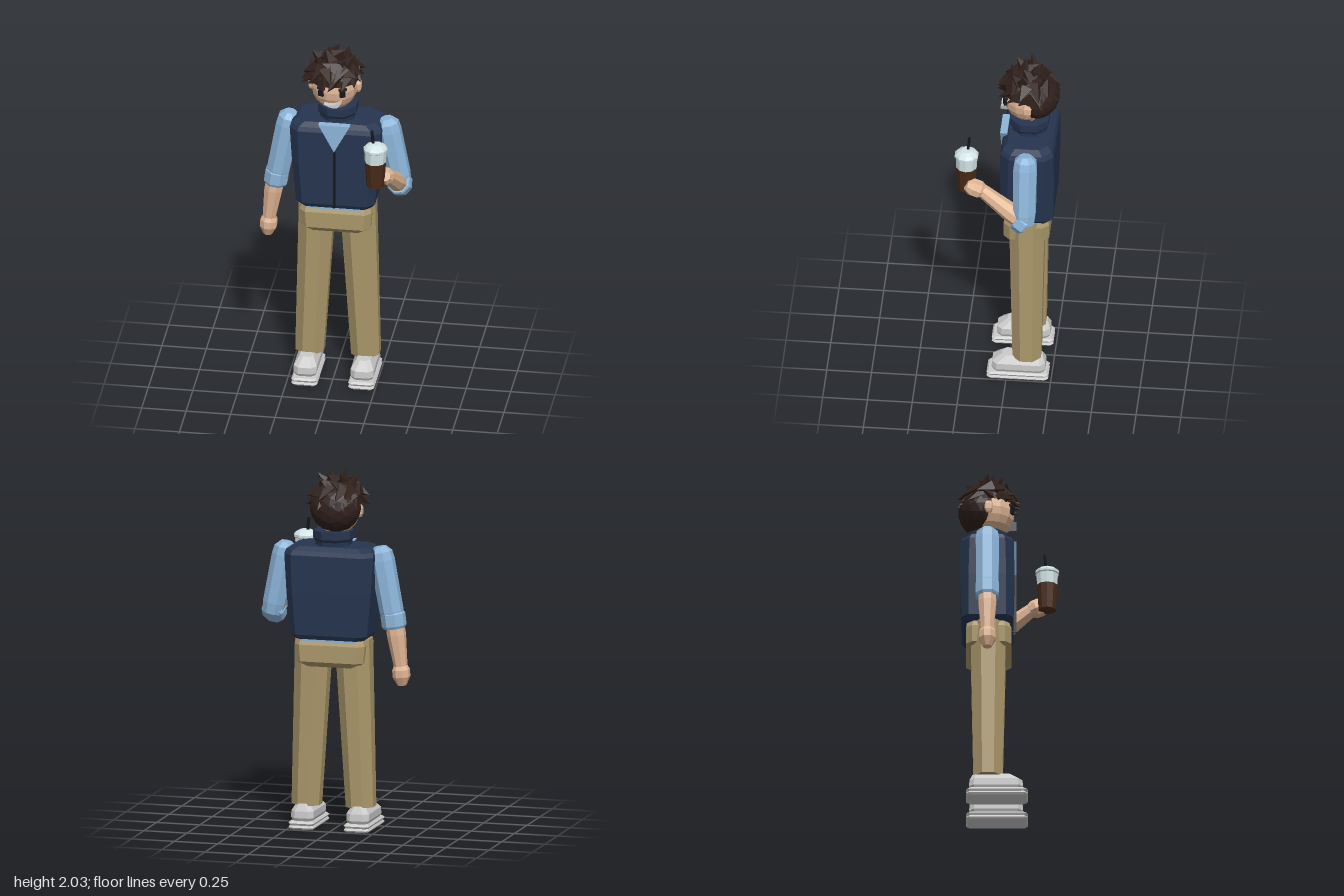
import * as THREE from 'three';

const mat = (color, side = THREE.FrontSide) => new THREE.MeshStandardMaterial({ color, side, flatShading: true });
const V = (x, y, z) => new THREE.Vector3(x, y, z);
const UP = V(0, 1, 0);
const CX = 0.0125; // body midline

export function createModel() {
  const model = new THREE.Group();
  const skin = mat(0xe0b594), shirt = mat(0x8db6da), vest = mat(0x263550), trousers = mat(0xab986b);
  const grey = mat(0xcccccc), hair = mat(0x30211c, THREE.DoubleSide), dark = mat(0x15161c);
  const coffee = mat(0x4a2a18), clear = mat(0xd3e4e6);

  const add = (name, geometry, material, x = 0, y = 0, z = 0) => {
    const mesh = new THREE.Mesh(geometry, material);
    mesh.name = name;
    mesh.position.set(x, y, z);
    model.add(mesh);
    return mesh;
  };

  // Stack of chamfered rectangles; each ring is [y, halfWidth, halfDepth, chamfer, zOffset]
  const loft = (rings) => {
    const pos = [], idx = [];
    for (const [y, w, d, c, dz = 0] of rings) {
      const outline = [[w, -d + c], [w, d - c], [w - c, d], [-w + c, d], [-w, d - c], [-w, -d + c], [-w + c, -d], [w - c, -d]];
      for (const [x, z] of outline) pos.push(x, y, z + dz);
    }
    const top = (rings.length - 1) * 8;
    for (let r = 0; r < top; r += 8) {
      for (let i = 0; i < 8; i++) {
        const a = r + i, b = r + (i + 1) % 8;
        idx.push(a, a + 8, b, b, a + 8, b + 8);
      }
    }
    for (let i = 1; i < 7; i++) idx.push(0, i, i + 1, top, top + i + 1, top + i);
    const g = new THREE.BufferGeometry();
    g.setAttribute('position', new THREE.Float32BufferAttribute(pos, 3));
    g.setIndex(idx);
    g.computeVertexNormals();
    return g;
  };

  // Turned solid from a to b; the profile is [radius, fraction of the way]
  const limb = (name, a, b, profile, material, sides = 8) => {
    const axis = b.clone().sub(a), len = axis.length();
    const pts = profile.map(([r, t]) => new THREE.Vector2(r, t * len));
    pts.unshift(new THREE.Vector2(0, pts[0].y));
    pts.push(new THREE.Vector2(0, pts[pts.length - 1].y));
    const g = new THREE.LatheGeometry(pts, sides).rotateY(Math.PI / sides);
    const mesh = add(name, g, material, a.x, a.y, a.z);
    mesh.quaternion.setFromUnitVectors(UP, axis.normalize());
    return mesh;
  };
  const ball = (name, material, p, r, detail = 1) =>
    add(name, new THREE.IcosahedronGeometry(1, detail).scale(...r), material, ...p);

  // Legs and shoes
  for (const s of [-1, 1]) {
    const side = s > 0 ? 'left' : 'right';
    limb(side + 'Leg', V(CX + s * 0.157, 0.13, -0.112), V(CX + s * 0.115, 1.08, -0.11), [[0.086, 0], [0.108, 1]], trousers);
    const x = CX + s * 0.16;
    add(side + 'Sole', loft([[0, 0.066, 0.165, 0.015], [0.01, 0.073, 0.172, 0.015], [0.022, 0.066, 0.165, 0.015],
      [0.034, 0.073, 0.172, 0.015], [0.045, 0.064, 0.162, 0.015]]), grey, x, 0, -0.062);
    add(side + 'Shoe', loft([[0.04, 0.054, 0.138, 0.02], [0.062, 0.065, 0.15, 0.025], [0.1, 0.065, 0.148, 0.028],
      [0.142, 0.038, 0.112, 0.022, -0.02]]), grey, x, 0, -0.067);
  }

  // Hips, shirt hem, vest and collar
  add('hips', loft([[0.925, 0.155, 0.1, 0.03], [0.955, 0.195, 0.127, 0.035], [1.05, 0.203, 0.127, 0.035],
    [1.085, 0.19, 0.112, 0.03]]), trousers, CX, 0, -0.108);
  add('shirtHem', loft([[1.07, 0.18, 0.12, 0.03], [1.1, 0.18, 0.12, 0.03]]), shirt, CX, 0, -0.11);
  add('vest', loft([[1.085, 0.2, 0.13, 0.035], [1.11, 0.222, 0.144, 0.04], [1.35, 0.244, 0.15, 0.045],
    [1.56, 0.258, 0.149, 0.05], [1.585, 0.25, 0.138, 0.05], [1.608, 0.215, 0.112, 0.045]]), vest, CX, 0, -0.115);
  limb('collar', V(CX, 1.58, -0.114), V(CX, 1.69, -0.114), [[0.1, 0], [0.104, 0.45], [0.116, 0.6], [0.116, 1]], vest);
  limb('neck', V(0.005, 1.6, -0.11), V(0.005, 1.74, -0.11), [[0.065, 0], [0.065, 1]], skin);

  // Shirt opening and zip
  const vee = new THREE.Shape([[-0.088, 1.615], [0, 1.45], [0.088, 1.615]].map((p) => new THREE.Vector2(...p)));
  add('shirtOpening', new THREE.ExtrudeGeometry(vee, { depth: 0.04, bevelEnabled: false }), shirt, CX, 0, 0.006);
  add('zip', new THREE.BoxGeometry(0.012, 0.35, 0.03), dark, CX, 1.275, 0.033);

  // Arms: the right one hangs, the left one is bent to hold the cup
  const sleeve = [[0.035, 0], [0.064, 0.07], [0.07, 0.18], [0.068, 0.85], [0.06, 1]];
  const cuff = [[0.06, 0], [0.07, 0.15], [0.07, 0.85], [0.062, 1]];
  const forearm = [[0.052, 0], [0.054, 0.3], [0.038, 1]];
  limb('rightSleeve', V(-0.255, 1.608, -0.115), V(-0.335, 1.18, -0.115), sleeve, shirt);
  limb('rightCuff', V(-0.327, 1.245, -0.115), V(-0.34, 1.15, -0.115), cuff, shirt);
  limb('rightForearm', V(-0.34, 1.19, -0.115), V(-0.376, 0.93, -0.115), forearm, skin);
  limb('rightHand', V(-0.374, 0.955, -0.115), V(-0.384, 0.828, -0.115), [[0.03, 0], [0.05, 0.3], [0.05, 0.62], [0.025, 1]], skin);

  const elbow = V(0.362, 1.205, -0.105), wrist = V(0.315, 1.38, 0.135);
  limb('leftSleeve', V(0.285, 1.608, -0.113), V(0.366, 1.2, -0.113), sleeve, shirt);
  limb('leftCuff', elbow.clone().lerp(wrist, -0.1), elbow.clone().lerp(wrist, 0.14), cuff, shirt);
  limb('leftForearm', elbow, wrist, forearm, skin);
  limb('leftHand', V(0.31, 1.365, 0.115), V(0.326, 1.415, 0.215), [[0.035, 0], [0.052, 0.3], [0.052, 0.7], [0.03, 1]], skin);

  // Cup with lid and straw
  const cup = V(0.272, 1.355, 0.217);
  const cupPart = (name, y0, y1, profile, m) =>
    limb(name, V(cup.x, y0, cup.z), V(cup.x, y1, cup.z), profile, m, 10);
  cupPart('cup', 1.355, 1.51, [[0.05, 0], [0.06, 1]], coffee);
  cupPart('cupRim', 1.505, 1.615, [[0.06, 0], [0.062, 0.6], [0.068, 0.64], [0.068, 0.76], [0.056, 0.88], [0.03, 1]], clear);
  limb('straw', V(0.262, 1.58, 0.213), V(0.25, 1.685, 0.203), [[0.009, 0], [0.009, 1]], dark, 6);

  // Head, ears, eyes and smile
  add('head', new THREE.SphereGeometry(1, 14, 10).scale(0.132, 0.143, 0.137), skin, -0.005, 1.81, -0.1);
  for (const s of [-1, 1]) {
    add('ear', loft([[-0.032, 0.012, 0.014, 0.005], [-0.015, 0.018, 0.022, 0.006], [0.02, 0.018, 0.024, 0.006],
      [0.034, 0.012, 0.016, 0.005]]), skin, -0.004 + s * 0.13, 1.8, -0.108);
    add('eye', new THREE.BoxGeometry(0.032, 0.034, 0.02), dark, -0.003 + s * 0.06, 1.806, 0.02).rotation.y = s * 0.4;
    add('eyebrow', new THREE.BoxGeometry(0.045, 0.012, 0.02), hair, -0.003 + s * 0.06, 1.836, 0.02).rotation.y = s * 0.4;
  }
  const smile = new THREE.Shape();
  smile.moveTo(-0.048, 0.004);
  smile.quadraticCurveTo(0, -0.012, 0.052, 0.024);
  smile.quadraticCurveTo(0.035, -0.05, -0.048, 0.004);
  add('smile', new THREE.ExtrudeGeometry(smile, { depth: 0.045, bevelEnabled: false, curveSegments: 5 }), grey, 0.003, 1.745, 0.003);

  // Hair: rounded back, crown cap and pointed tufts
  ball('hairBack', hair, [-0.008, 1.822, -0.152], [0.145, 0.138, 0.126], 2);
  const crown = [-0.01, 1.855, -0.108];
  add('hairCrown', new THREE.SphereGeometry(1, 12, 5, 0, Math.PI * 2, 0, Math.PI * 0.52).scale(0.146, 0.115, 0.146), hair, ...crown);
  let seed = 7;
  const rand = () => (seed = (seed * 16807) % 2147483647) / 2147483647;
  const rows = [[0.05, 15, 0.04, 0.1], [0.45, 12, 0.048, 0.1], [0.85, 8, 0.05, 0.1], [1.3, 4, 0.05, 0.09]];
  for (const [elev, count, r, len] of rows) {
    for (let i = 0; i < count; i++) {
      const a = (i + rand() * 0.6) / count * Math.PI * 2;
      const out = V(Math.cos(a) * Math.cos(elev), Math.sin(elev), Math.sin(a) * Math.cos(elev));
      // each tuft sweeps sideways and hangs down near the rim
      const dir = out.clone().multiplyScalar(0.4)
        .add(V(-Math.sin(a), 0, Math.cos(a)).multiplyScalar((rand() - 0.35) * 1.1))
        .add(V(0, elev > 0.8 ? 0.15 : -0.35, 0)).normalize();
      const tuft = add('hairTuft', new THREE.ConeGeometry(r, len * (0.8 + rand() * 0.4), 4).translate(0, 0.02, 0), hair,
        crown[0] + out.x * 0.128, crown[1] + 0.015 + out.y * 0.1, crown[2] + out.z * 0.128);
      tuft.quaternion.setFromUnitVectors(UP, dir);
    }
  }
  return model;
}
